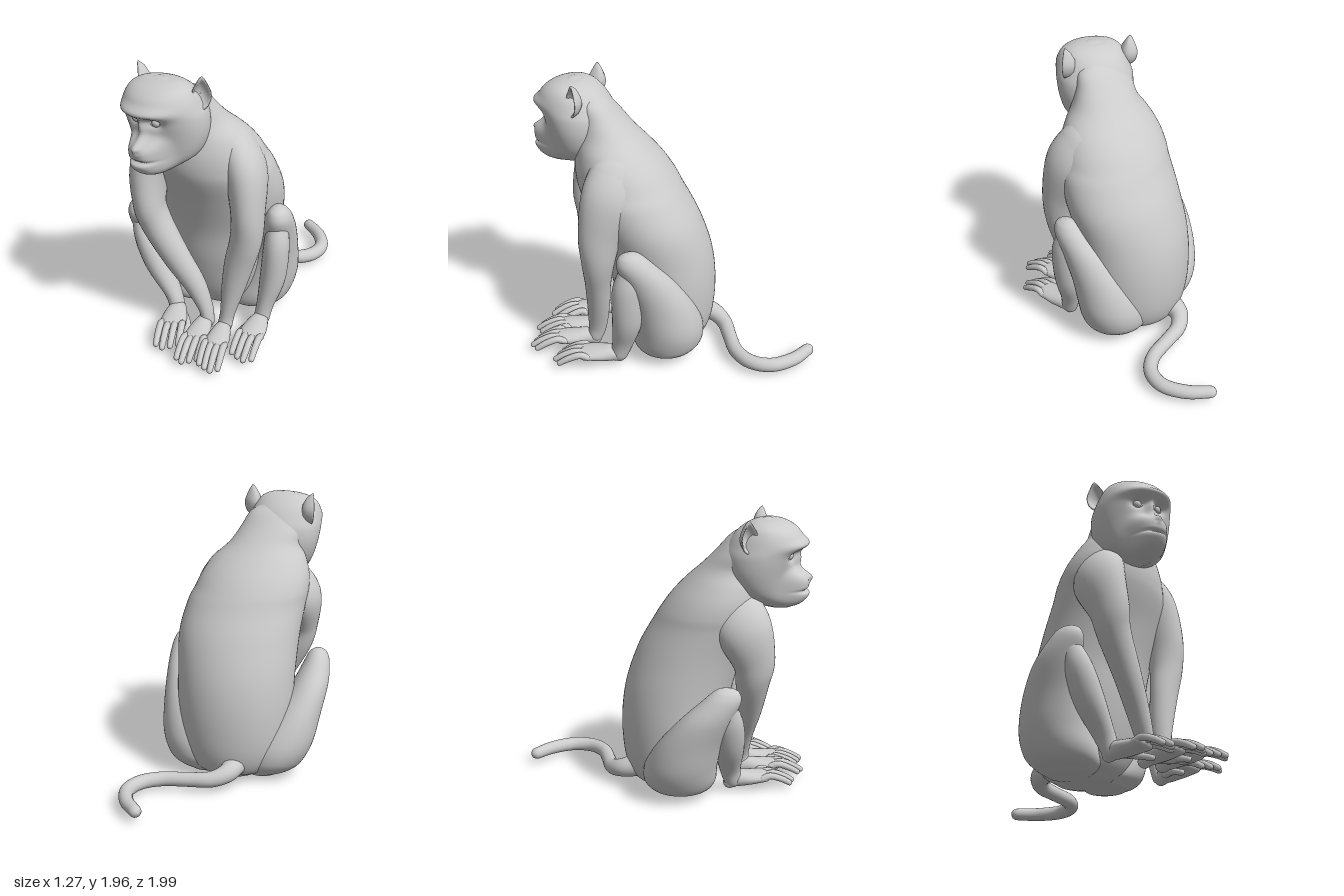
import * as THREE from 'three';

const material = new THREE.MeshStandardMaterial({ color: 0xcccccc, side: THREE.DoubleSide });

function add(parent, name, geometry) {
  const mesh = new THREE.Mesh(geometry, material);
  mesh.name = name;
  parent.add(mesh);
  return mesh;
}

// Smooth round-ended limb through rows of [x, y, z, radius along ref, radius across]
function loft(rows, { seg = 24, steps = 6, ref = [1, 0, 0], flat = false } = {}) {
  const spine = new THREE.CatmullRomCurve3(rows.map(r => new THREE.Vector3(r[0], r[1], r[2])), false, 'catmullrom');
  const size = new THREE.CatmullRomCurve3(rows.map(r => new THREE.Vector3(r[3], r[4] ?? r[3], 0)), false, 'catmullrom');
  const n = (rows.length - 1) * steps, rings = [];
  const caps = [Math.PI / 2, 1.2, 0.8, 0.4];
  for (const c of caps) rings.push([0, -c]);
  for (let i = 0; i <= n; i++) rings.push([i / n, 0]);
  for (const c of [...caps].reverse()) rings.push([1, c]);
  const pos = [], idx = [];
  rings.forEach(([t, cap], i) => {
    const c = spine.getPoint(t), s = size.getPoint(t);
    const T = flat ? new THREE.Vector3(0, 1, 0) : spine.getTangent(t);
    const A = new THREE.Vector3(...ref).addScaledVector(T, -T.dot(new THREE.Vector3(...ref))).normalize();
    const B = T.clone().cross(A);
    c.addScaledVector(T, Math.min(s.x, s.y) * Math.sin(cap) * (flat ? 0.15 : 1));
    const k = Math.max(Math.cos(cap), 0.001);
    for (let j = 0; j < seg; j++) {
      const a = j / seg * Math.PI * 2;
      const p = c.clone().addScaledVector(A, s.x * k * Math.cos(a)).addScaledVector(B, s.y * k * Math.sin(a));
      pos.push(p.x, p.y, p.z);
      if (i) {
        const p0 = (i - 1) * seg, p1 = i * seg, m = (j + 1) % seg;
        idx.push(p0 + j, p0 + m, p1 + m, p0 + j, p1 + m, p1 + j);
      }
    }
  });
  const g = new THREE.BufferGeometry();
  g.setAttribute('position', new THREE.Float32BufferAttribute(pos, 3));
  g.setIndex(idx);
  g.computeVertexNormals();
  return g;
}

// Stack of level ellipses: [y, back z, front z, centre x, half width]
const slices = (rows, seg = 48, steps = 6) =>
  loft(rows.map(([y, b, f, x, w]) => [x, y, (b + f) / 2, w, (f - b) / 2]), { seg, steps, flat: true });

// Hand or foot with four digits and a thumb on the given side
function paw(parent, name, x, z, yaw, side, heel, width) {
  const g = new THREE.Group();
  g.name = name;
  g.position.set(x, 0, z);
  g.rotation.y = yaw;
  parent.add(g);
  add(g, 'palm', loft([[0, 0.072, -heel, 0.045, 0.045], [0, 0.095, 0.05, 0.058 * width, 0.058],
    [0, 0.097, 0.14, 0.077 * width, 0.05], [0, 0.1, 0.25, 0.082 * width, 0.036]]));
  for (let i = -1.5; i <= 1.5; i++) {
    const d = i * 0.042 * width, short = Math.abs(i + side * 0.4) * 0.03;
    add(g, 'digit', loft([[d, 0.1, 0.22, 0.024], [d * 1.04, 0.118, 0.31 - short, 0.024],
      [d * 1.06, 0.09, 0.39 - short, 0.023], [d * 1.06, 0.055, 0.45 - short, 0.02]], { seg: 12, steps: 4 }));
  }
  add(g, 'thumb', loft([[side * 0.05, 0.08, 0.08, 0.028], [side * 0.085 * width, 0.065, 0.17, 0.024],
    [side * 0.09 * width, 0.04, 0.25, 0.02]], { seg: 12, steps: 4 }));
}

// Cupped ear: a bowl stretched upward into a soft point
function earGeometry() {
  const profile = [[0.001, -0.06], [0.03, -0.055], [0.052, -0.03], [0.062, 0], [0.064, 0.012], [0.058, 0.016],
    [0.05, 0.006], [0.04, -0.015], [0.02, -0.028], [0.001, -0.03]].map(p => new THREE.Vector2(...p));
  const g = new THREE.LatheGeometry(profile, 32);
  g.rotateX(Math.PI / 2);
  const p = g.attributes.position;
  for (let i = 0; i < p.count; i++) {
    const y = p.getY(i), up = Math.max(0, y / 0.064);
    p.setXY(i, p.getX(i) * (1 - 0.45 * up * up), y * (1.5 + 0.45 * up * up));
  }
  g.computeVertexNormals();
  return g;
}

// Skull whose front is pushed out and in to form muzzle, nose, brows, sockets and mouth
function skullGeometry() {
  const g = slices([[1.345, 0.12, 0.24, 0, 0.06], [1.375, 0.02, 0.265, 0, 0.12], [1.43, -0.07, 0.275, 0, 0.195],
    [1.5, -0.12, 0.285, 0, 0.24], [1.6, -0.15, 0.31, 0, 0.268], [1.7, -0.15, 0.345, 0, 0.272],
    [1.77, -0.12, 0.37, 0, 0.257], [1.84, -0.07, 0.355, 0, 0.232], [1.89, -0.01, 0.3, 0, 0.195],
    [1.918, 0.05, 0.23, 0, 0.13], [1.928, 0.1, 0.17, 0, 0.05]], 128, 10);
  const bump = (x, r, power = 2) => Math.exp(-Math.pow(Math.abs(x) / r, power));
  const p = g.attributes.position;
  for (let i = 0; i < p.count; i++) {
    const x = p.getX(i), y = p.getY(i), z = p.getZ(i), ax = Math.abs(x);
    const push = 0.135 * bump(x, 0.125, 4) * bump(y - 1.465, 0.13, 4)
      + 0.04 * bump(x, 0.2, 4) * bump(y - 1.775, 0.035)
      + 0.03 * bump(x, 0.03) * bump(y - 1.63, 0.08, 4)
      + 0.02 * bump(x, 0.035) * bump(y - 1.55, 0.03)
      + 0.012 * bump(x, 0.08) * bump(y - 1.435, 0.025)
      - 0.045 * bump(ax - 0.08, 0.05) * bump(y - 1.705, 0.035)
      - 0.022 * bump(x, 0.1, 4) * bump(y - 1.465, 0.011)
      - 0.015 * bump(ax - 0.02, 0.01) * bump(y - 1.535, 0.01);
    p.setZ(i, z + push * THREE.MathUtils.smoothstep(z, 0.1, 0.22));
  }
  g.computeVertexNormals();
  return g;
}

function buildHead() {
  const head = new THREE.Group();
  head.name = 'head';
  const h = new THREE.Group();
  h.position.y = -1.65;
  head.add(h);
  head.position.set(-0.19, 1.65, 0.48);
  head.rotation.set(0, -0.38, 0.04);
  add(h, 'skull', skullGeometry());
  for (const s of [-1, 1]) {
    add(h, 'eye', new THREE.SphereGeometry(0.032, 24, 16)).position.set(s * 0.077, 1.705, 0.288);
    const lid = add(h, 'eyelid', new THREE.TorusGeometry(0.032, 0.009, 10, 28));
    lid.position.set(s * 0.077, 1.705, 0.297);
    lid.scale.y = 0.7;
    lid.rotation.y = s * 0.3;
    const ear = add(h, 'ear', earGeometry());
    ear.position.set(s * 0.24, 1.835, 0.055);
    ear.rotation.set(0, s * 0.85, -s * 0.06);
  }
  return head;
}

export function createModel() {
  const model = new THREE.Group();
  model.name = 'sittingMonkey';

  // Trunk, from seat to nape
  add(model, 'torso', slices([[0.04, -0.2, 0.18, 0, 0.2], [0.1, -0.28, 0.26, 0, 0.3], [0.25, -0.33, 0.33, 0, 0.37],
    [0.5, -0.345, 0.39, 0, 0.405], [0.75, -0.315, 0.43, 0, 0.415], [1.0, -0.23, 0.51, 0, 0.428],
    [1.2, -0.125, 0.59, -0.03, 0.42], [1.3, -0.07, 0.615, -0.06, 0.405], [1.4, 0, 0.62, -0.08, 0.38],
    [1.5, 0.09, 0.61, -0.1, 0.33], [1.6, 0.19, 0.6, -0.13, 0.255], [1.7, 0.28, 0.6, -0.17, 0.228],
    [1.8, 0.37, 0.6, -0.18, 0.18], [1.85, 0.44, 0.56, -0.18, 0.1]], 64));

  model.add(buildHead());

  // Arms, broad at the shoulder, reaching down to the ground between the knees
  add(model, 'leftArm', loft([[0.15, 1.39, 0.33, 0.135, 0.2], [0.235, 1.24, 0.4, 0.14, 0.2], [0.27, 1.0, 0.475, 0.113, 0.15],
    [0.265, 0.8, 0.495, 0.108, 0.115], [0.22, 0.6, 0.5, 0.1, 0.09], [0.18, 0.4, 0.5, 0.08, 0.08],
    [0.145, 0.2, 0.51, 0.052, 0.065], [0.13, 0.1, 0.53, 0.05, 0.055]], { seg: 32 }));
  add(model, 'rightArm', loft([[-0.3, 1.36, 0.36, 0.135, 0.19], [-0.395, 1.21, 0.43, 0.135, 0.19], [-0.395, 1.0, 0.5, 0.108, 0.145],
    [-0.35, 0.84, 0.505, 0.106, 0.115], [-0.22, 0.6, 0.51, 0.095, 0.09], [-0.09, 0.38, 0.5, 0.075, 0.075],
    [-0.015, 0.2, 0.5, 0.05, 0.062], [0, 0.1, 0.51, 0.048, 0.055]], { seg: 32 }));
  paw(model, 'leftHand', 0.125, 0.53, 0, -1, 0, 1);
  paw(model, 'rightHand', -0.015, 0.49, -0.05, 1, 0, 1);

  // Folded thighs flaring into the rump; the right one is lower and leans outward
  const thigh = [[0.03, -0.12, 0.18, 0.2, 0.14], [0.08, -0.18, 0.24, 0.22, 0.22], [0.16, -0.225, 0.265, 0.25, 0.24],
    [0.3, -0.22, 0.265, 0.28, 0.245], [0.5, -0.14, 0.28, 0.345, 0.185], [0.7, -0.01, 0.33, 0.395, 0.135],
    [0.84, 0.12, 0.38, 0.425, 0.098], [0.91, 0.19, 0.37, 0.43, 0.07], [0.94, 0.23, 0.335, 0.43, 0.04],
    [0.95, 0.26, 0.3, 0.43, 0.015]];
  add(model, 'leftThigh', slices(thigh));
  add(model, 'rightThigh', slices(thigh.map(([y, b, f, x, w]) =>
    [y * 0.915, b, f + 0.01, -x - 0.11 * Math.min(1, y / 0.7), w * 0.96])));

  // Shins and feet
  add(model, 'leftShin', loft([[0.425, 0.8, 0.285, 0.07, 0.08], [0.43, 0.65, 0.31, 0.088, 0.105], [0.41, 0.4, 0.315, 0.088, 0.103],
    [0.37, 0.2, 0.345, 0.06, 0.075], [0.35, 0.09, 0.37, 0.055, 0.06]]));
  add(model, 'rightShin', loft([[-0.53, 0.72, 0.29, 0.07, 0.08], [-0.48, 0.58, 0.32, 0.088, 0.105], [-0.4, 0.4, 0.345, 0.088, 0.103],
    [-0.29, 0.2, 0.375, 0.06, 0.075], [-0.25, 0.09, 0.4, 0.055, 0.06]]));
  paw(model, 'leftFoot', 0.35, 0.37, -0.1, -1, 0, 1.1);
  paw(model, 'rightFoot', -0.245, 0.38, 0.09, 1, 0, 1.1);

  // Tail curling round on the ground
  add(model, 'tail', loft([[-0.06, 0.16, -0.24, 0.085], [-0.03, 0.13, -0.35, 0.066], [0.07, 0.1, -0.415, 0.055],
    [0.22, 0.09, -0.43, 0.05], [0.4, 0.085, -0.45, 0.05], [0.53, 0.082, -0.53, 0.05], [0.58, 0.08, -0.67, 0.049],
    [0.53, 0.08, -0.83, 0.047], [0.43, 0.08, -0.955, 0.042]], { ref: [0, 1, 0] }));

  return model;
}
